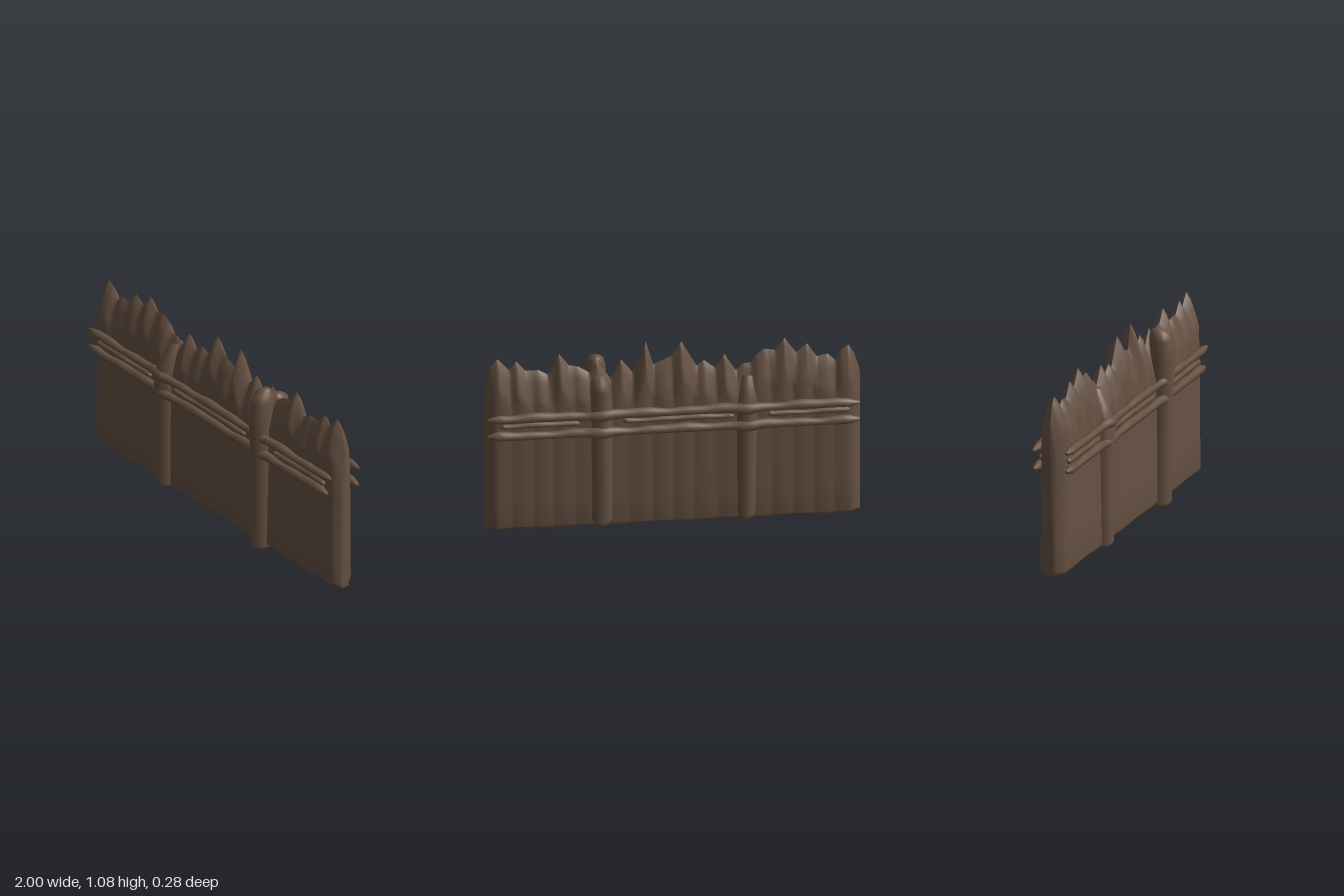
import * as THREE from 'three';

const wood = new THREE.MeshStandardMaterial({ color: 0x665142 });
wood.name = 'brown wood';

// Skyline of the sharpened stakes: x, height
const SKYLINE = [
  [-1, .85], [-.97, .95], [-.94, 1], [-.9, .97], [-.87, .91], [-.83, .95], [-.77, .94], [-.72, 1.02], [-.66, .97],
  [-.6, 1.06], [-.55, .99], [-.49, 1], [-.45, .97], [-.42, .92], [-.38, .92], [-.34, .88], [-.28, .98], [-.23, .9],
  [-.17, .95], [-.13, .92], [-.05, 1.07], [0, .99], [.1, .94], [.14, 1.08], [.21, .9], [.27, .98], [.33, .87],
  [.4, .98], [.44, .91], [.5, .95], [.55, .96], [.6, 1.03], [.66, .91], [.71, .94], [.78, .94], [.83, 1],
  [.87, .95], [.93, 1.02], [.97, .97], [1, .85],
];

// Linear interpolation in a table of [x, value]
function lookup(table, x) {
  const k = Math.min(table.length - 1, Math.max(1, table.findIndex((p) => p[0] >= x)));
  const [x0, a] = table[k - 1], [x1, b] = table[k];
  return THREE.MathUtils.lerp(a, b, (x - x0) / (x1 - x0));
}

// Closed skin over equal-length rings of [x, y, z], capped at both ends
function loft(name, rings) {
  const n = rings[0].length, m = rings.length;
  const pos = rings.flat(2), index = [];
  for (let i = 0; i < m - 1; i++) {
    for (let j = 0; j < n; j++) {
      const a = i * n + j, b = i * n + (j + 1) % n;
      index.push(a, a + n, b, b, a + n, b + n);
    }
  }
  for (const i of [0, m - 1]) {
    const c = pos.length / 3;
    for (let k = 0; k < 3; k++) pos.push(rings[i].reduce((s, p) => s + p[k], 0) / n);
    for (let j = 0; j < n; j++) {
      const a = i * n + j, b = i * n + (j + 1) % n;
      if (i === 0) index.push(c, a, b); else index.push(c, b, a);
    }
  }
  const g = new THREE.BufferGeometry();
  g.setAttribute('position', new THREE.Float32BufferAttribute(pos, 3));
  g.setIndex(index);
  g.computeVertexNormals();
  const mesh = new THREE.Mesh(g, wood);
  mesh.name = name;
  return mesh;
}

// Wall of merged stakes: thin scalloped body, tapering to the skyline
function stakeWall() {
  const rings = [], columns = 200;
  for (let i = 0; i <= columns; i++) {
    const x = -1 + 2 * i / columns, top = lookup(SKYLINE, x);
    const edge = Math.max(0, (Math.abs(x) - .93) / .07);
    const end = Math.max(.35, Math.sqrt(Math.max(0, 1 - edge * edge)));
    const groove = Math.abs(Math.sin(x * 25 + .5 * Math.sin(x * 9)));
    const ys = [.013 + .005 * Math.sin(x * 17), .04, .2, .45, .58, .7, .76];
    for (let k = 1; k <= 7; k++) ys.push(.76 + (top - .76) * k / 7);
    const width = ys.map((y, j) => {
      if (j === 0) return .052 * end;
      const taper = Math.pow(Math.min(1, Math.max(0, top - y) / .17), .7);
      const ridge = y > .7 ? .016 : .005;
      return (.076 - .008 * y - ridge * (1 - groove)) * taper * end + .001;
    });
    const front = ys.map((y, j) => [x, y, width[j]]);
    const back = ys.map((y, j) => [x, y, -width[j]]).reverse();
    rings.push([...front, ...back]);
  }
  return loft('stakeWall', rings);
}

// Upright post; sections are [y, x, z, halfWidth, halfDepth]
function post(name, sections) {
  return loft(name, sections.map(([y, x, z, rx, rz]) => Array.from({ length: 14 }, (_, k) => {
    const a = k / 14 * Math.PI * 2;
    return [x + rx * Math.cos(a), y, z + rz * Math.sin(a)];
  })));
}

// Horizontal pole with an uneven, hewn outline, swelling over the posts
function rail(name, x0, x1, y, z, ry, rz, seed) {
  const rings = [], steps = 70, side = Math.sign(z);
  for (let i = 0; i <= steps; i++) {
    const x = x0 + (x1 - x0) * i / steps;
    const tip = Math.min(1, .4 + .3 * Math.min(i, steps - i));
    const swell = Math.exp(-Math.pow((Math.abs(x) - .39) / .06, 2));
    const wob = Math.sin(x * 13 + seed) * .5 + Math.sin(x * 31 + seed * 2) * .3;
    const r = tip * (1 + .2 * wob);
    rings.push(Array.from({ length: 8 }, (_, k) => {
      const a = k / 8 * Math.PI * 2;
      return [x, y + .005 * wob + (ry * r + .008 * swell) * Math.sin(a),
        z + side * .018 * swell + rz * r * Math.cos(a)];
    }));
  }
  return loft(name, rings);
}

export function createModel() {
  const model = new THREE.Group();
  model.name = 'palisadeWall';
  model.add(stakeWall());

  // Posts standing proud of both faces
  model.add(post('frontRightPost', [
    [.015, -.4, .05, .035, .05], [.04, -.4, .055, .055, .066], [.4, -.405, .055, .058, .066],
    [.58, -.405, .06, .062, .068], [.72, -.4, .055, .06, .07], [.8, -.39, .035, .045, .05], [.88, -.38, .01, .03, .03],
  ]));
  model.add(post('frontLeftPost', [
    [0, .39, .06, .035, .05], [.03, .39, .065, .055, .067], [.4, .395, .066, .057, .067],
    [.6, .395, .068, .06, .07], [.8, .395, .073, .058, .073], [.92, .4, .07, .052, .066],
    [.96, .4, .06, .042, .05], [.98, .4, .05, .02, .025],
  ]));
  model.add(post('backLeftPost', [
    [.015, .38, -.05, .035, .035], [.06, .38, -.055, .058, .063], [.4, .38, -.052, .06, .062],
    [.65, .38, -.055, .06, .063], [.84, .385, -.052, .055, .06], [.885, .39, -.05, .045, .055], [.91, .39, -.035, .025, .035],
  ]));
  model.add(post('backRightPost', [
    [.015, -.39, -.05, .035, .035], [.06, -.39, -.055, .052, .06], [.4, -.39, -.052, .056, .06],
    [.7, -.395, -.055, .058, .063], [.78, -.4, -.04, .045, .05], [.86, -.4, -.02, .03, .03],
  ]));

  // Two rails on each face with ragged timber packed between them
  model.add(rail('frontUpperRail', -.99, .985, .705, .092, .022, .022, 1));
  model.add(rail('frontLowerRail', -.99, .96, .603, .092, .024, .022, 3));
  model.add(rail('backUpperRail', -.99, .99, .705, -.098, .026, .023, 5));
  model.add(rail('backLowerRail', -.99, .99, .598, -.094, .025, .022, 2));
  const packing = [[-.94, -.5], [-.32, .27], [.5, .92]];
  packing.forEach(([a, b], i) => {
    model.add(rail('frontPacking', a, b, .645, .078, .016, .016, i * 2));
    model.add(rail('backPacking', a, b, .65, -.078, .016, .014, i * 2 + 1));
  });
  return model;
}
